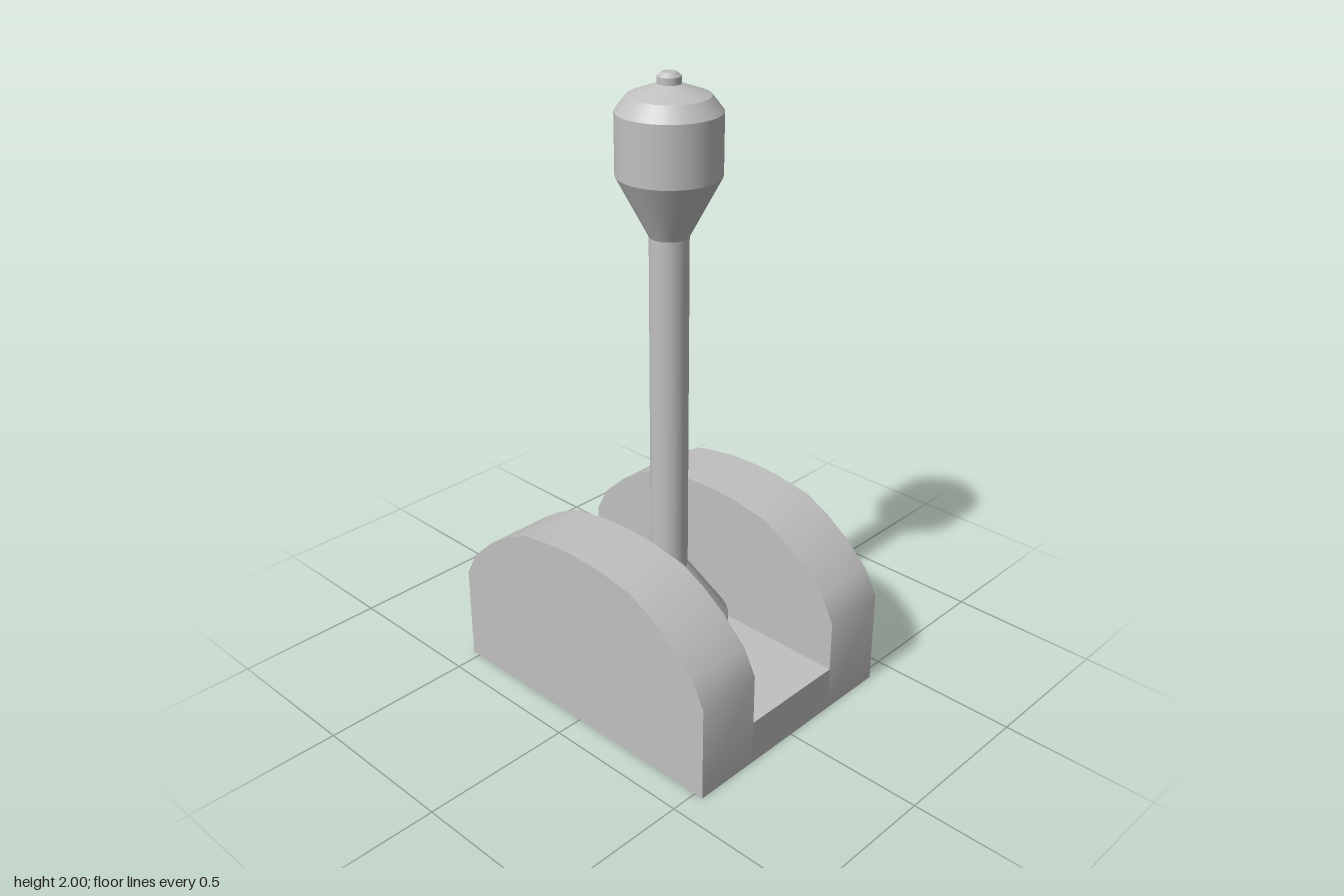
import * as THREE from 'three';
import { toCreasedNormals } from 'three/addons/utils/BufferGeometryUtils.js';

const grey = new THREE.MeshStandardMaterial({ color: 0xc0c0c0, side: THREE.DoubleSide });
grey.name = 'grey';

const OUTER = 0.41, INNER = 0.185, DEPTH = 0.53, FLOOR = 0.15;

// Front half of the arch, from its foot to its crown, as [z, y]
const half = [[0.485, 0.405], [0.4, 0.485], [0.32, 0.54], [0.235, 0.583], [0.1, 0.605]];
const shoulder = [[DEPTH, 0.32], ...half];
const arch = [...shoulder.map(([z, y]) => [-z, y]), [0, 0.609], ...shoulder.reverse()];

function add(parent, name, geometry) {
  const mesh = new THREE.Mesh(geometry, grey);
  mesh.name = name;
  parent.add(mesh);
  return mesh;
}

// Arch-shaped side wall with its foot at a given height, facing +x or -x
function sideWall(x, foot, facing) {
  const points = [[-DEPTH, foot], ...arch, [DEPTH, foot]].map(p => new THREE.Vector2(...p));
  return new THREE.ShapeGeometry(new THREE.Shape(points))
    .rotateY(facing * Math.PI / 2).translate(x, 0, 0);
}

// Curved skin over one cheek, running from the back foot to the front foot
function archSkin(centerX) {
  const path = [[-DEPTH, 0], ...arch, [DEPTH, 0]];
  const skin = new THREE.PlaneGeometry(OUTER - INNER, 1, 1, path.length - 1);
  const pos = skin.attributes.position;
  for (let i = 0; i < pos.count; i++) {
    const [z, y] = path[Math.floor(i / 2)];
    pos.setXYZ(i, pos.getX(i) + centerX, y, z);
  }
  return toCreasedNormals(skin, 0.6);
}

// Lathe with each profile section kept crisp, smooth around the axis
function turned(parent, name, profile) {
  const group = new THREE.Group();
  group.name = name;
  for (let i = 0; i < profile.length - 1; i++) {
    const pair = [profile[i], profile[i + 1]].map(p => new THREE.Vector2(...p));
    add(group, name + 'Section' + (i + 1), new THREE.LatheGeometry(pair, 32));
  }
  parent.add(group);
}

export function createModel() {
  const model = new THREE.Group();
  model.name = 'lever';

  // Hollow base, open underneath
  const base = new THREE.Group();
  base.name = 'base';
  model.add(base);
  for (const side of [1, -1]) {
    const label = side > 0 ? 'left' : 'right';
    add(base, label + 'ArchSkin', archSkin(side * (OUTER + INNER) / 2));
    add(base, label + 'OuterWall', sideWall(side * OUTER, 0, side));
    add(base, label + 'InnerWall', sideWall(side * INNER, FLOOR, -side));
    const sill = new THREE.PlaneGeometry(INNER * 2, FLOOR);
    if (side < 0) sill.rotateY(Math.PI);
    add(base, side > 0 ? 'frontSill' : 'backSill', sill)
      .position.set(0, FLOOR / 2, side * DEPTH);
  }
  add(base, 'channelFloor', new THREE.PlaneGeometry(INNER * 2, DEPTH * 2).rotateX(-Math.PI / 2))
    .position.y = FLOOR;

  // Lever standing in the channel
  turned(model, 'leverFoot', [[0, 0.147], [0.195, 0.147], [0.195, 0.21], [0.06, 0.405]]);
  turned(model, 'shaft', [[0.06, 0.405], [0.06, 1.52]]);
  turned(model, 'handle', [[0.06, 1.52], [0.157, 1.705], [0.157, 1.89], [0.122, 1.935], [0.035, 1.967]]);
  turned(model, 'tipButton', [[0.035, 1.965], [0.035, 1.988], [0.022, 2], [0, 2]]);

  return model;
}
